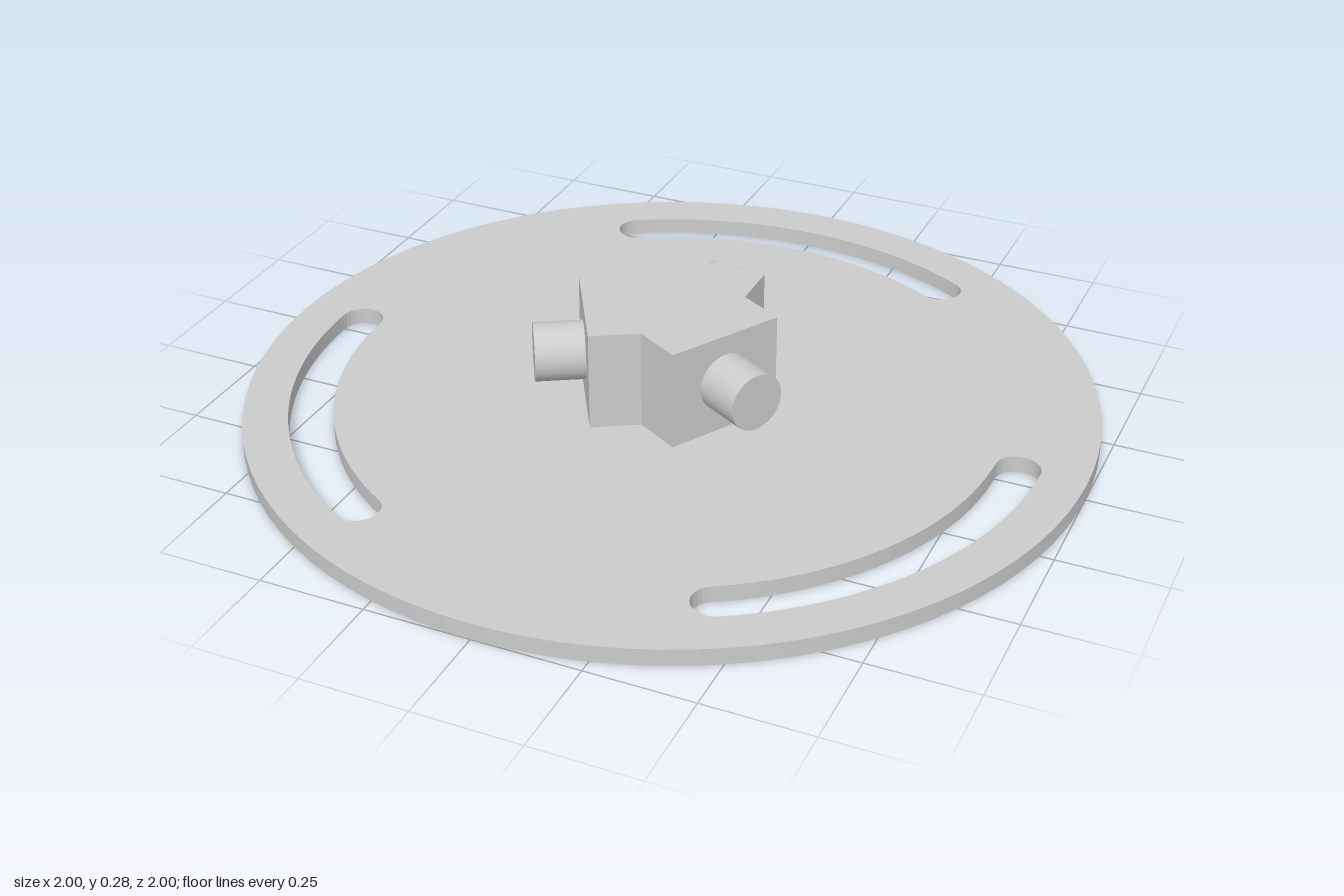
import * as THREE from 'three';
import { toCreasedNormals } from 'three/addons/utils/BufferGeometryUtils.js';

const material = new THREE.MeshStandardMaterial({ color: 0xcccccc });
const armAngles = [90, 210, 330].map(THREE.MathUtils.degToRad);

// Extrudes a plan shape upwards, from y0 to y1
function plate(shape, y0, y1, name) {
  const geo = new THREE.ExtrudeGeometry(shape, { depth: y1 - y0, bevelEnabled: false, curveSegments: 48 });
  geo.rotateX(-Math.PI / 2);
  geo.translate(0, y0, 0);
  const mesh = new THREE.Mesh(toCreasedNormals(geo, Math.PI / 6), material);
  mesh.name = name;
  return mesh;
}

// Curved slot with round ends, spanning 60 degrees about the given angle
function slotPath(angle, radius, halfWidth) {
  const a = angle - Math.PI / 6, b = angle + Math.PI / 6;
  const path = new THREE.Path();
  path.absarc(0, 0, radius + halfWidth, a, b, false);
  path.absarc(radius * Math.cos(b), radius * Math.sin(b), halfWidth, b, b + Math.PI, false);
  path.absarc(0, 0, radius - halfWidth, b, a, true);
  path.absarc(radius * Math.cos(a), radius * Math.sin(a), halfWidth, a + Math.PI, a + 2 * Math.PI, false);
  return path;
}

export function createModel() {
  const model = new THREE.Group();
  model.name = 'slottedDiscWithHub';

  // Disc with three arc slots
  const disc = new THREE.Shape();
  disc.absarc(0, 0, 1, 0, Math.PI * 2, false);
  armAngles.forEach((a) => disc.holes.push(slotPath(a, 0.843, 0.052)));
  model.add(plate(disc, 0, 0.04, 'slottedDisc'));

  // Three-armed hub: two end corners per arm, then the notch to the next arm
  const halfWidth = 0.147, reach = 0.205, notch = halfWidth / Math.sin(Math.PI / 3);
  const points = [];
  for (const a of armAngles) {
    const c = Math.cos(a), s = Math.sin(a);
    for (const w of [-halfWidth, halfWidth]) {
      points.push(new THREE.Vector2(reach * c - w * s, reach * s + w * c));
    }
    const n = a + Math.PI / 3;
    points.push(new THREE.Vector2(notch * Math.cos(n), notch * Math.sin(n)));
  }
  model.add(plate(new THREE.Shape(points), 0.04, 0.28, 'hub'));

  // Round peg out of each arm
  const pegStart = 0.18, pegEnd = 0.322;
  const pegGeo = new THREE.CylinderGeometry(0.069, 0.069, pegEnd - pegStart, 48);
  pegGeo.rotateZ(-Math.PI / 2);
  pegGeo.translate((pegStart + pegEnd) / 2, 0, 0);
  armAngles.forEach((a, i) => {
    const peg = new THREE.Mesh(pegGeo, material);
    peg.name = ['backPeg', 'rightPeg', 'leftPeg'][i];
    peg.position.y = 0.163;
    peg.rotation.y = a;
    model.add(peg);
  });

  return model;
}
